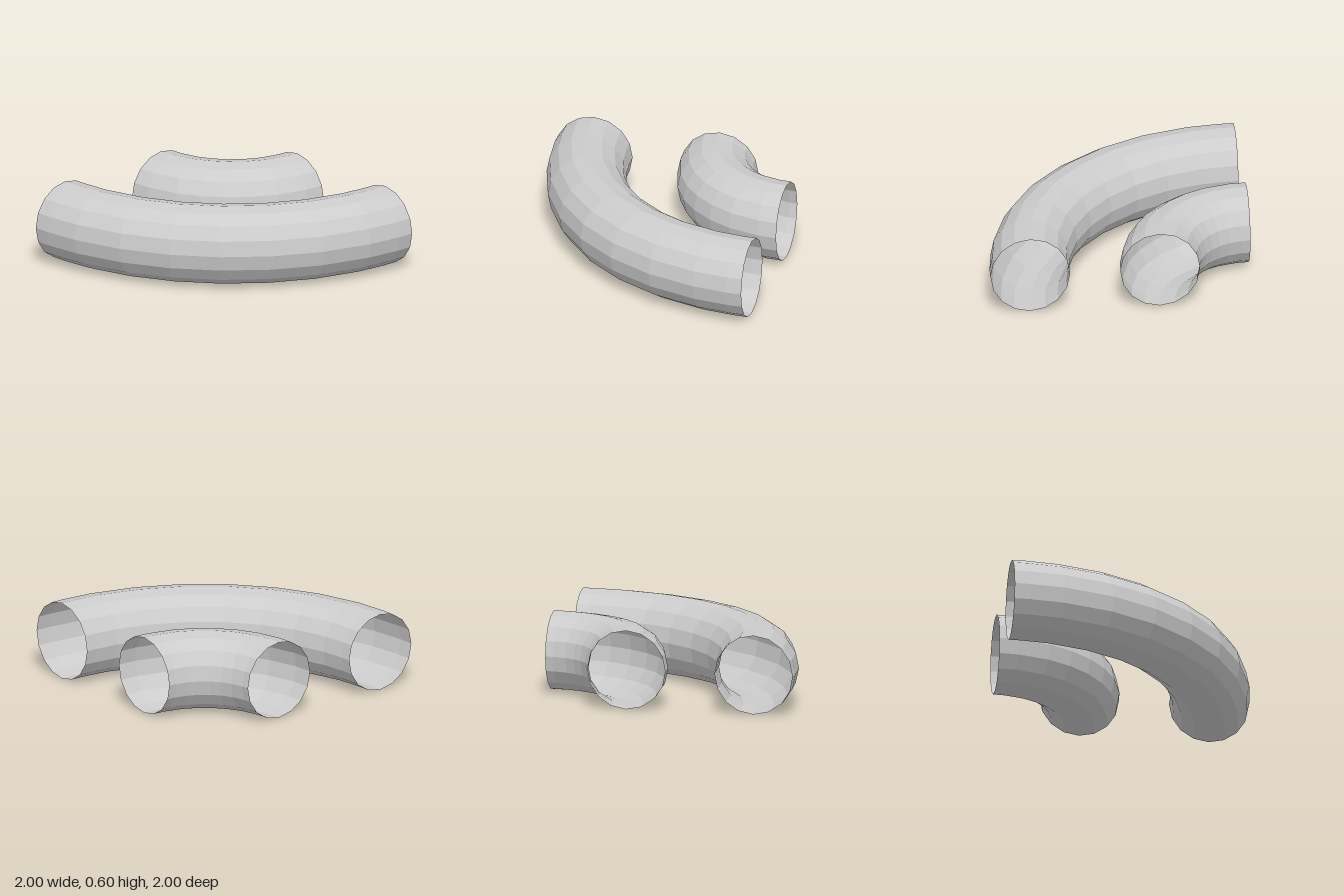
import * as THREE from 'three';

const TUBE = 0.3;   // pipe radius
const SIDES = 16;

// Open pipe swept a quarter turn around the corner (1, -1); angles in degrees
function bentPipe(name, bendRadius, angles, material) {
  const positions = [], indices = [];
  angles.forEach((deg, i) => {
    const a = THREE.MathUtils.degToRad(deg);
    for (let j = 0; j <= SIDES; j++) {
      const t = (j / SIDES) * Math.PI * 2;
      const r = bendRadius + TUBE * Math.cos(t);
      positions.push(1 - r * Math.cos(a), TUBE + TUBE * Math.sin(t), -1 + r * Math.sin(a));
      if (i < angles.length - 1 && j < SIDES) {
        const p = i * (SIDES + 1) + j, q = p + SIDES + 1;
        indices.push(p, q, p + 1, q, q + 1, p + 1);
      }
    }
  });
  const geometry = new THREE.BufferGeometry();
  geometry.setAttribute('position', new THREE.Float32BufferAttribute(positions, 3));
  geometry.setIndex(indices);
  geometry.computeVertexNormals();
  const mesh = new THREE.Mesh(geometry, material);
  mesh.name = name;
  return mesh;
}

// Ring angles: even steps in the bend, with a short collar at each end
function ringAngles(collar, firstStep) {
  const step = 11.25, angles = [0, collar];
  for (let k = firstStep; k <= 8 - firstStep; k++) angles.push(k * step);
  angles.push(90 - collar, 90);
  return angles;
}

export function createModel() {
  const model = new THREE.Group();
  model.name = 'pipeBends';
  const material = new THREE.MeshStandardMaterial({
    color: 0xcccccc, flatShading: true, side: THREE.DoubleSide,
  });
  model.add(bentPipe('outerPipeBend', 1.7, ringAngles(3.5, 1), material));
  model.add(bentPipe('innerPipeBend', 0.72, ringAngles(8.5, 2), material));
  return model;
}
